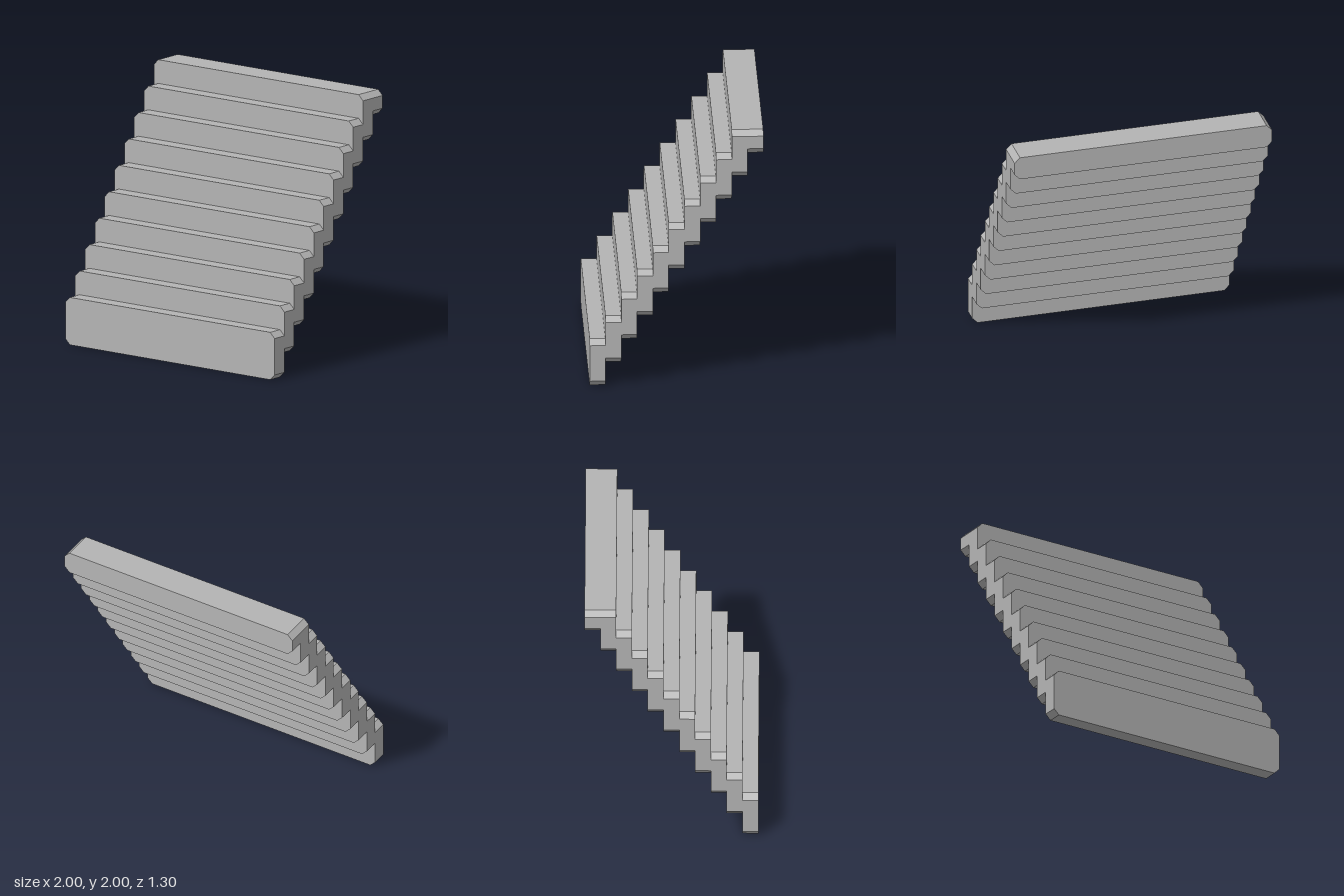
import * as THREE from 'three';

const COUNT = 11;
const RISE = 2 / COUNT;
const RUN = 1.3 / COUNT;
const CHAMFER = 0.042;

// Plank with its four long corners cut off, base at y = 0, front at z = 0
function plankGeometry(height) {
  const c = CHAMFER;
  const shape = new THREE.Shape([
    [-1 + c, 0], [1 - c, 0], [1, c], [1, height - c],
    [1 - c, height], [-1 + c, height], [-1, height - c], [-1, c],
  ].map(([x, y]) => new THREE.Vector2(x, y)));
  const geometry = new THREE.ExtrudeGeometry(shape, { depth: RUN, bevelEnabled: false });
  return geometry.translate(0, 0, -RUN);
}

export function createModel() {
  const stone = new THREE.MeshStandardMaterial({ color: 0xb4b4b4 });
  stone.name = 'grey stone';
  const model = new THREE.Group();
  model.name = 'staircase';

  // Each step overlaps half of the next; the last one is a half-height landing
  const tall = plankGeometry(RISE * 2);
  const short = plankGeometry(RISE);
  for (let i = 0; i < COUNT; i++) {
    const last = i === COUNT - 1;
    const step = new THREE.Mesh(last ? short : tall, stone);
    step.name = last ? 'topLanding' : `step${i + 1}`;
    step.position.set(0, i * RISE, 0.65 - i * RUN);
    model.add(step);
  }
  return model;
}
